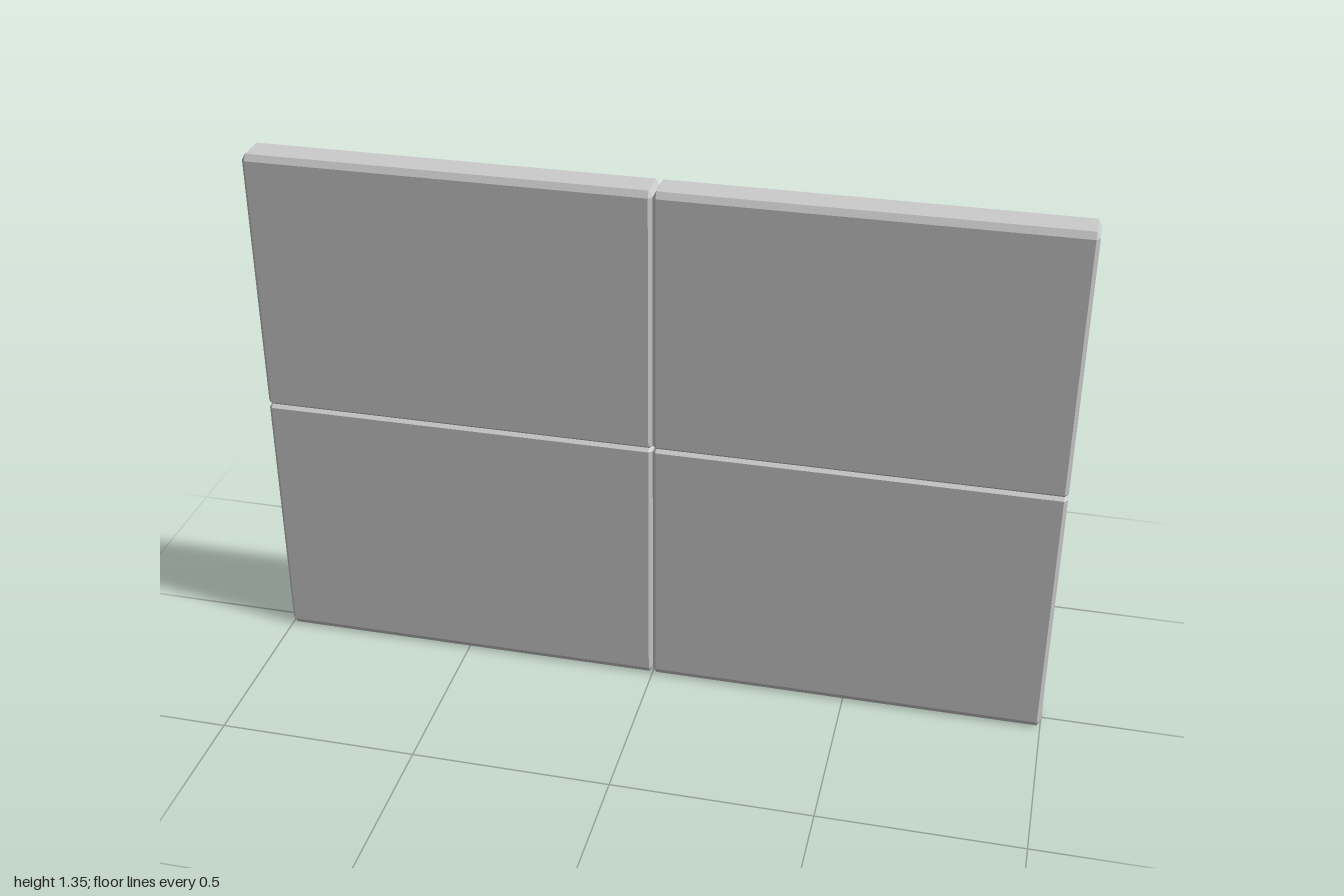
import * as THREE from 'three';
import { ConvexGeometry } from 'three/addons/geometries/ConvexGeometry.js';

const HALF_DEPTH = 0.045;
const PANEL_WIDTH = 1;
const PANEL_HEIGHT = 0.677;
const BEVEL = 0.009;        // bevel across x and z
const OUTER_BEVEL_Y = 0.016; // taller bevel along the outer top and bottom
const INNER_BEVEL_Y = 0.008; // shallow bevel along the middle seam

// Box with every edge bevelled: each corner becomes three points.
function panelGeometry() {
  const points = [];
  for (const sx of [-1, 1]) for (const top of [0, 1]) for (const sz of [-1, 1]) {
    const x = sx * PANEL_WIDTH / 2;
    const y = top * PANEL_HEIGHT;
    const z = sz * HALF_DEPTH;
    const xIn = x - sx * BEVEL;
    const yIn = top ? y - OUTER_BEVEL_Y : y + INNER_BEVEL_Y;
    const zIn = z - sz * BEVEL;
    points.push(
      new THREE.Vector3(x, yIn, zIn),
      new THREE.Vector3(xIn, y, zIn),
      new THREE.Vector3(xIn, yIn, z),
    );
  }
  return new ConvexGeometry(points);
}

export function createModel() {
  const model = new THREE.Group();
  model.name = 'panelWall';
  const material = new THREE.MeshStandardMaterial({ color: 0xcccccc, flatShading: true });
  const geometry = panelGeometry();

  // Two by two panels; the lower row is turned upside down.
  for (const [side, sx] of [['Right', -1], ['Left', 1]]) {
    for (const row of ['upper', 'lower']) {
      const panel = new THREE.Mesh(geometry, material);
      panel.name = `${row}${side}Panel`;
      panel.position.set(sx * PANEL_WIDTH / 2, PANEL_HEIGHT, 0);
      if (row === 'lower') panel.rotation.z = Math.PI;
      model.add(panel);
    }
  }
  return model;
}
